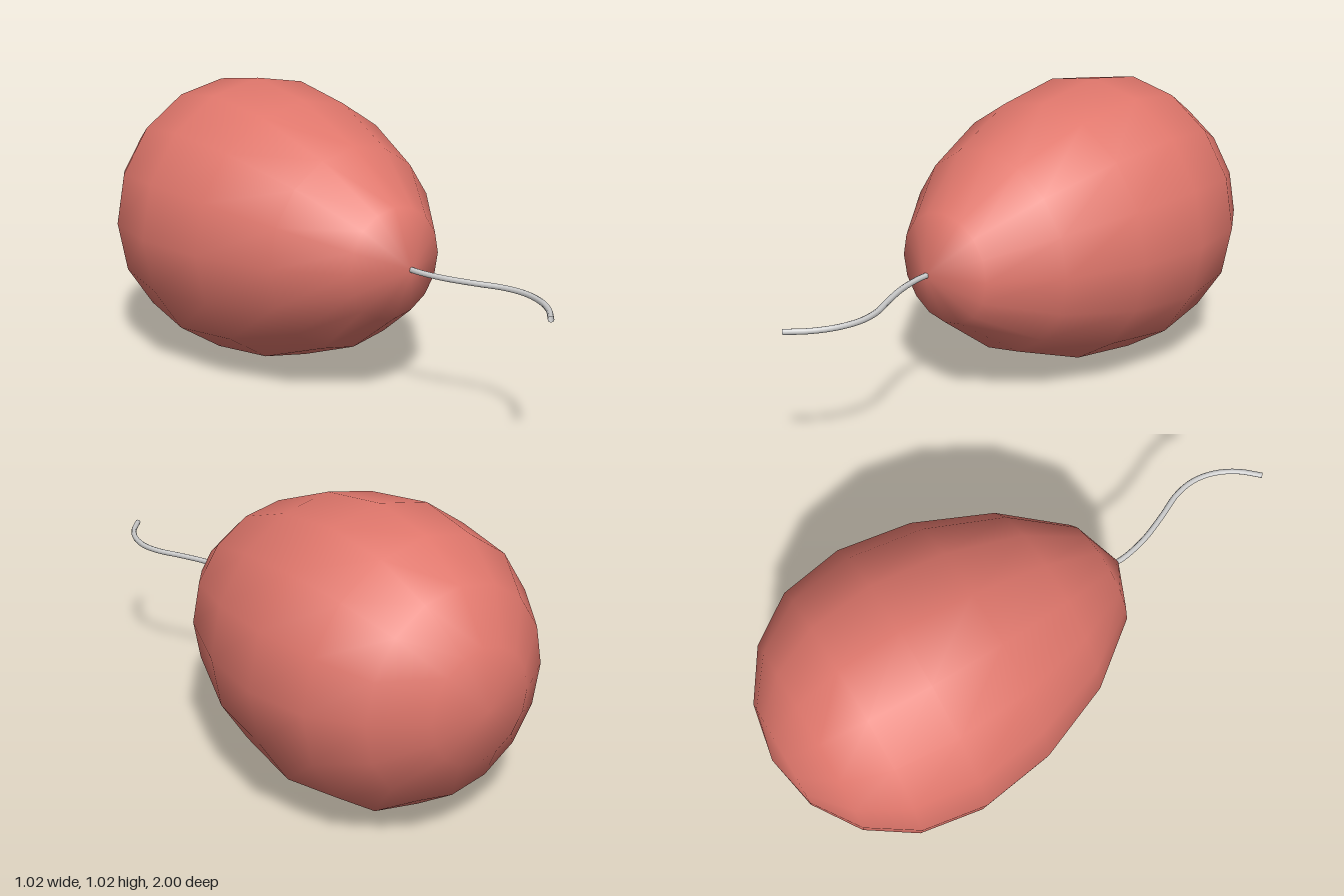
import * as THREE from 'three';
import { mergeVertices } from 'three/addons/utils/BufferGeometryUtils.js';

const CENTRE_Y = 0.51;

// Balloon: a 16 x 8 sphere whose rings are slid along z into a teardrop
function balloonGeometry() {
  const ringZ = [0.375, 0.287, 0.073, -0.2, -0.464, -0.69, -0.853, -0.962, -1];
  let geometry = new THREE.SphereGeometry(0.508, 16, 8);
  const pos = geometry.attributes.position;
  for (let i = 0; i < pos.count; i++) {
    pos.setY(i, ringZ[Math.floor(i / 17)]);
  }
  geometry.rotateX(Math.PI / 2);
  // weld the seam and poles so the shading is smooth all round
  geometry.deleteAttribute('uv');
  geometry.deleteAttribute('normal');
  geometry = mergeVertices(geometry, 1e-4);
  geometry.computeVertexNormals();
  return geometry;
}

// String: a thin tube along a flat wave
function stringGeometry() {
  const path = [
    [0, 0.35], [0.004, 0.41], [0.025, 0.5], [0.066, 0.6], [0.108, 0.69],
    [0.122, 0.77], [0.108, 0.85], [0.07, 0.925], [0.012, 0.991],
  ].map(([x, z]) => new THREE.Vector3(x, 0, z));
  return new THREE.TubeGeometry(new THREE.CatmullRomCurve3(path), 32, 0.01, 8);
}

export function createModel() {
  const model = new THREE.Group();
  model.name = 'balloonOnString';

  const balloon = new THREE.Mesh(
    balloonGeometry(), new THREE.MeshStandardMaterial({ color: 0xe0776c }));
  balloon.name = 'balloon';

  const string = new THREE.Mesh(
    stringGeometry(),
    new THREE.MeshStandardMaterial({ color: 0xcccccc, side: THREE.DoubleSide }));
  string.name = 'string';

  for (const part of [balloon, string]) {
    part.position.y = CENTRE_Y;
    model.add(part);
  }
  return model;
}
